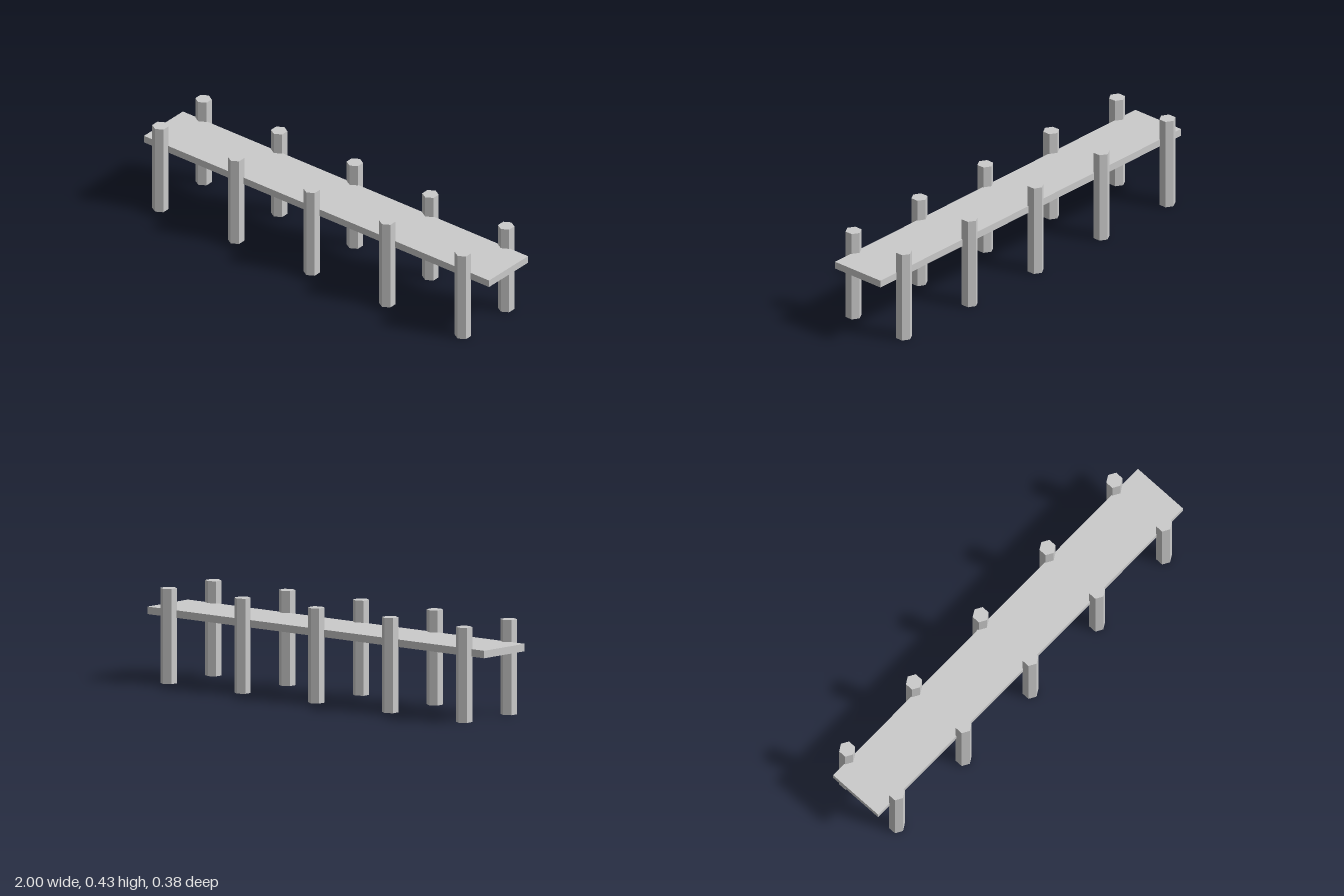
import * as THREE from 'three';

export function createModel() {
  const pier = new THREE.Group();
  pier.name = 'pier';
  const material = new THREE.MeshStandardMaterial({ color: 0xcccccc, flatShading: true });

  // Flat walkway
  const deck = new THREE.Mesh(new THREE.BoxGeometry(2, 0.034, 0.276), material);
  deck.name = 'deck';
  deck.position.y = 0.314;
  pier.add(deck);

  // Two rows of hexagonal posts, overlapping the deck edges
  const height = 0.431;
  const postGeometry = new THREE.CylinderGeometry(0.0375, 0.0375, height, 6);
  const rows = [['frontPost', 0.1525], ['backPost', -0.1525]];
  for (const [name, z] of rows) {
    for (let i = 0; i < 5; i++) {
      const post = new THREE.Mesh(postGeometry, material);
      post.name = `${name}${i + 1}`;
      post.position.set(-0.893 + i * 0.4385, height / 2, z);
      pier.add(post);
    }
  }
  return pier;
}
